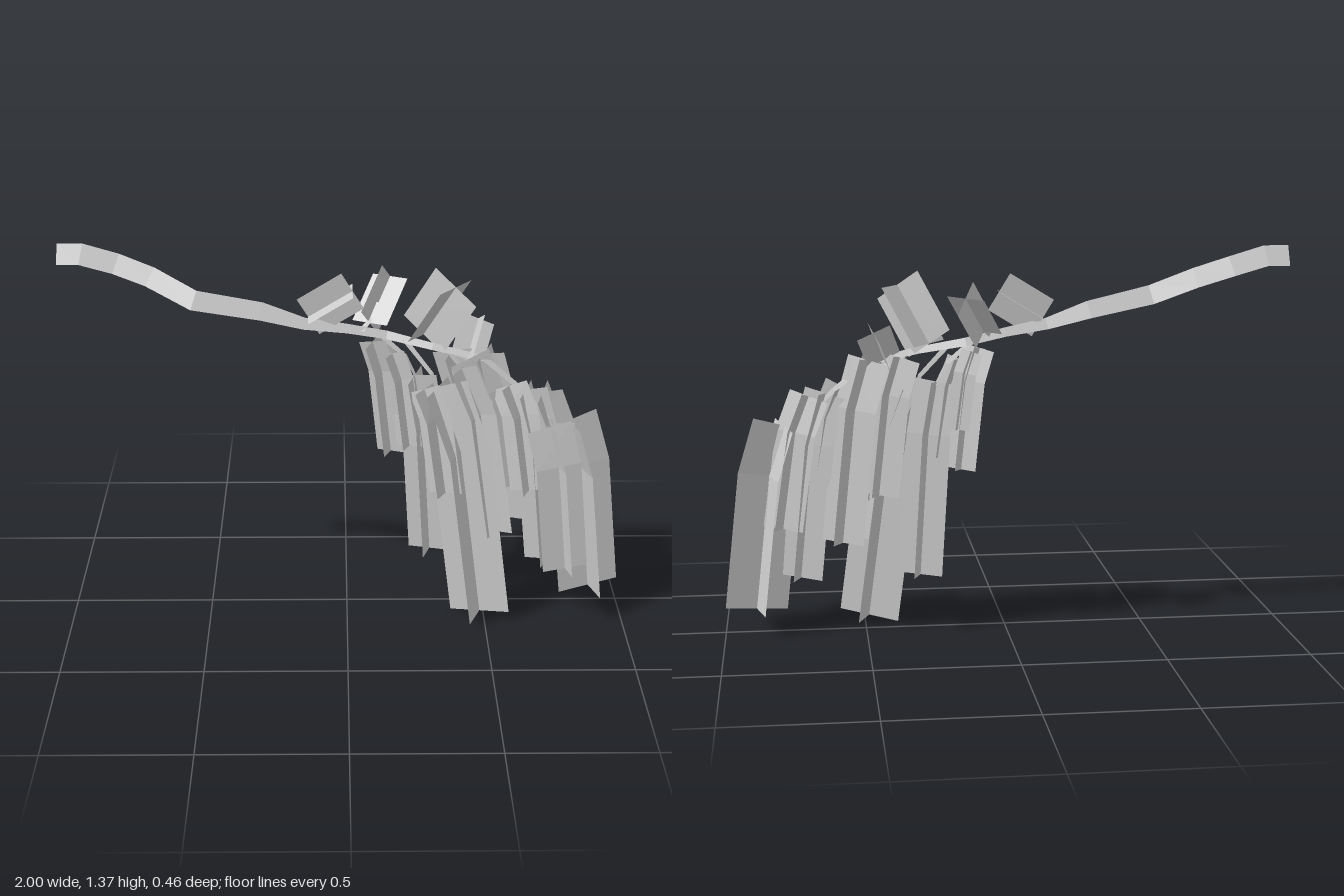
import * as THREE from 'three';

const V = (x, y, z) => new THREE.Vector3(x, y, z);

function toMesh(name, positions, indices, material) {
  let geometry = new THREE.BufferGeometry();
  geometry.setAttribute('position', new THREE.Float32BufferAttribute(positions, 3));
  geometry.setIndex(indices);
  geometry = geometry.toNonIndexed();
  geometry.computeVertexNormals();
  const mesh = new THREE.Mesh(geometry, material);
  mesh.name = name;
  return mesh;
}

// Two side vectors at point i of a path (mostly z, then across), turned by an angle
function frame(path, i, angle) {
  const d = path[Math.min(i + 1, path.length - 1)].clone().sub(path[Math.max(i - 1, 0)]).normalize();
  const u = V(0, 0, 1).addScaledVector(d, -d.z).normalize().applyAxisAngle(d, angle);
  return { u, v: d.clone().cross(u) };
}

// Three-sided tapering limb with a ridge on top: nodes are [x, y, z, radius]
function limb(name, nodes, material) {
  const path = nodes.map(([x, y, z]) => V(x, y, z));
  const positions = [], indices = [];
  path.forEach((p, i) => {
    const { u, v } = frame(path, i, -0.08), r = nodes[i][3];
    for (let k = 0; k < 3; k++) {
      const a = -Math.PI / 2 + k * Math.PI * 2 / 3;
      positions.push(...p.clone().addScaledVector(u, r * Math.cos(a)).addScaledVector(v, r * Math.sin(a)).toArray());
    }
    if (!i) return;
    for (let k = 0; k < 3; k++) {
      const a = (i - 1) * 3 + k, b = (i - 1) * 3 + (k + 1) % 3;
      indices.push(a, b, b + 3, a, b + 3, a + 3);
    }
  });
  const e = (path.length - 1) * 3;
  indices.push(0, 2, 1, e, e + 1, e + 2);
  return toMesh(name, positions, indices, material);
}

// Flat leaf card that follows a path, turned about it by an angle
function card(path, width, angle, material) {
  const positions = [], indices = [];
  path.forEach((p, i) => {
    const { u } = frame(path, i, angle);
    for (const s of [-0.5, 0.5]) positions.push(...p.clone().addScaledVector(u, s * width).toArray());
    const a = 2 * i - 2;
    if (i) indices.push(a, a + 1, a + 3, a, a + 3, a + 2);
  });
  return toMesh('leafCard', positions, indices, material);
}

// Two cards crossing at right angles
function crossedCards(name, path, width, angle, material) {
  const group = new THREE.Group();
  group.name = name;
  for (const turn of [0, Math.PI / 2]) group.add(card(path, width, angle + turn, material));
  return group;
}

export function createModel() {
  const model = new THREE.Group();
  model.name = 'hangingBranch';
  const material = new THREE.MeshStandardMaterial({ color: 0xcccccc, flatShading: true, side: THREE.DoubleSide });

  // Main branch, bare on the right and drooping to a thin tip on the left
  model.add(limb('branch', [
    [-1, 1.328, -0.07, 0.045], [-0.92, 1.328, -0.07, 0.045], [-0.8, 1.293, -0.07, 0.044],
    [-0.68, 1.253, -0.045, 0.043], [-0.53, 1.188, 0.012, 0.042], [-0.3, 1.14, -0.01, 0.038],
    [-0.15, 1.095, -0.012, 0.025], [0, 1.07, -0.03, 0.02], [0.14, 1.04, -0.045, 0.018],
    [0.3, 1.01, -0.01, 0.015], [0.48, 0.97, 0, 0.013], [0.6, 0.87, 0.015, 0.011],
    [0.72, 0.76, 0.04, 0.009], [0.8, 0.6, 0.06, 0.005]], material));

  // Side twigs: start and end
  const twigs = [
    [0.12, 1.04, -0.04, 0.26, 0.86, -0.02],
    [0.2, 1.03, -0.03, 0.36, 0.75, 0.06],
    [0.35, 1, -0.01, 0.5, 0.72, 0.03],
    [0.05, 1.06, -0.03, 0.11, 1.14, -0.11],
  ];
  for (const [x0, y0, z0, x1, y1, z1] of twigs) {
    model.add(limb('twig', [[x0, y0, z0, 0.011],
      [x0 + (x1 - x0) * 0.6, y0 + (y1 - y0) * 0.4, (z0 + z1) / 2, 0.009], [x1, y1, z1, 0.004]], material));
  }

  // Short upright sprays: start, end, width, turn
  const sprays = [
    [-0.135, 1.12, -0.02, 0.02, 1.215, -0.02, 0.15, 0],
    [0.08, 1.08, -0.065, 0.155, 1.21, -0.19, 0.145, 0.75],
    [0.27, 1.04, -0.055, 0.375, 1.24, 0.015, 0.2, -0.56],
    [0.42, 0.965, 0, 0.465, 1.085, -0.095, 0.125, 0.1],
  ];
  for (const [x0, y0, z0, x1, y1, z1, width, angle] of sprays) {
    model.add(crossedCards('uprightSpray', [V(x0, y0, z0), V(x1, y1, z1)], width, angle, material));
  }

  // Long hanging sprays: top, bottom, width, turn
  const hanging = [
    [0.09, 1.02, -0.04, 0.16, 0.59, -0.055, 0.11, 0.5],
    [0.12, 1.01, -0.07, 0.175, 0.74, -0.095, 0.08, 0.3],
    [0.16, 0.98, -0.03, 0.225, 0.63, -0.01, 0.1, 0.5],
    [0.24, 0.9, -0.02, 0.305, 0.205, -0.03, 0.16, 0.35],
    [0.32, 0.88, 0.04, 0.485, 0.02, 0.112, 0.225, 0.38],
    [0.27, 0.88, 0.06, 0.35, 0.5, 0.11, 0.13, 0.5],
    [0.37, 0.99, -0.03, 0.45, 0.5, -0.04, 0.15, 0.4],
    [0.43, 0.98, 0.02, 0.54, 0.47, 0.03, 0.15, -0.3],
    [0.48, 0.98, -0.02, 0.58, 0.33, -0.035, 0.16, 0.46],
    [0.4, 0.95, 0.04, 0.54, 0.33, 0.08, 0.13, 0.6],
    [0.57, 0.88, 0.03, 0.65, 0.5, 0.09, 0.14, 0.38],
    [0.63, 0.86, 0.02, 0.73, 0.19, 0.03, 0.16, 0.35],
    [0.71, 0.75, 0.1, 0.785, 0.215, 0.15, 0.165, -0.2],
    [0.69, 0.85, 0.02, 0.79, 0.38, -0.01, 0.15, 0.4],
    [0.78, 0.745, 0.035, 0.89, 0.08, 0.03, 0.23, -0.28],
  ];
  for (const [x0, y0, z0, x1, y1, z1, width, angle] of hanging) {
    const path = [[0, 0], [0.5, 0.27], [1, 1]].map(([t, drop]) =>
      V(x0 + (x1 - x0) * t, y0 + (y1 - y0) * drop, z0 + (z1 - z0) * t));
    model.add(crossedCards('hangingSpray', path, width, angle, material));
  }
  return model;
}
